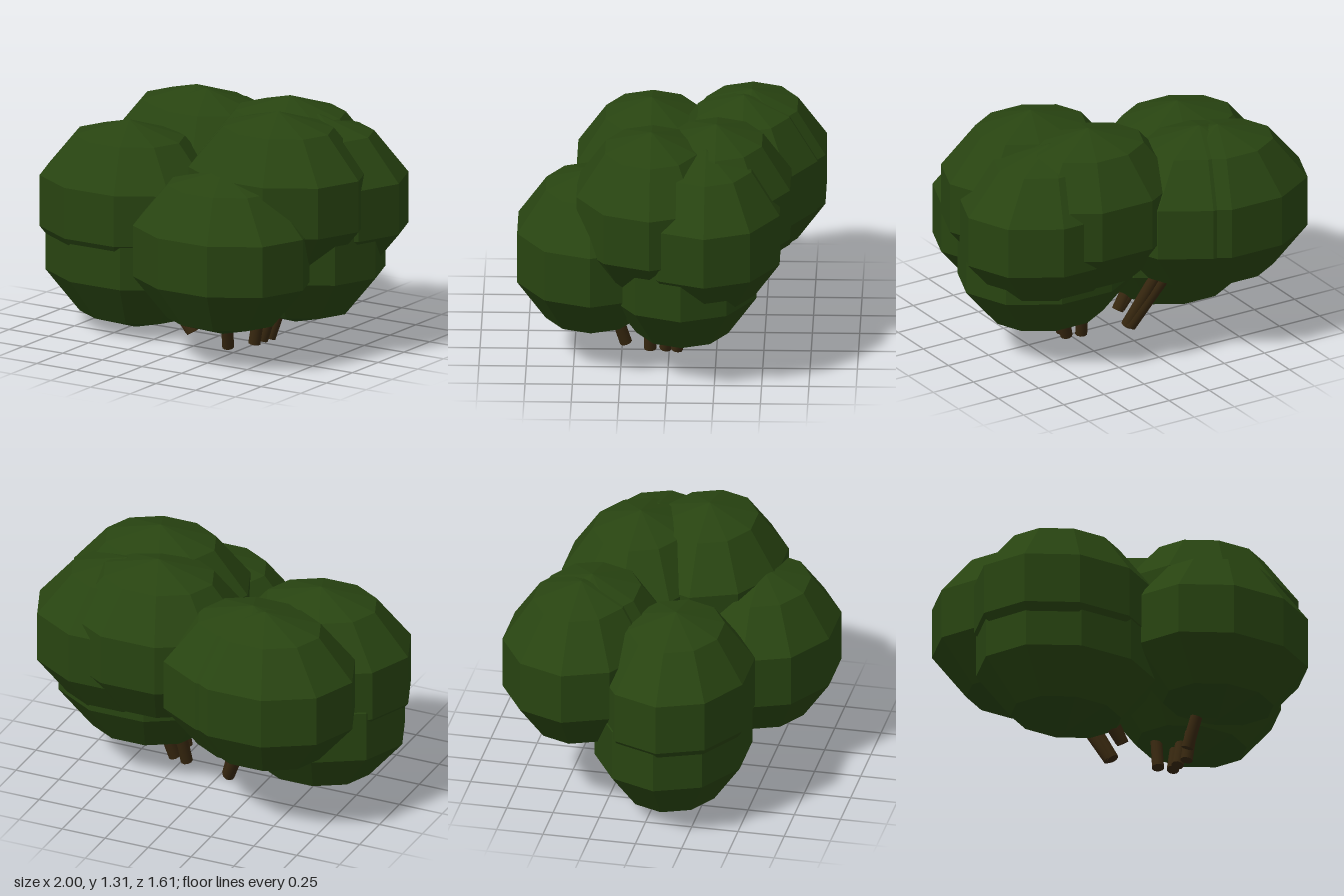
import * as THREE from 'three';

export function createModel() {
  const model = new THREE.Group();
  model.name = 'bush';

  const leaf = new THREE.MeshStandardMaterial({ color: 0x284411, flatShading: true });
  leaf.name = 'dark leaf green';
  const bark = new THREE.MeshStandardMaterial({ color: 0x37270f });
  bark.name = 'bark brown';

  // Each clump: name, centre of the foliage, foot of its stem
  const clumps = [
    ['front', [0.285, 0.6, 0.407], [0.205, 0.03, 0.23]],
    ['rightUpperFront', [0.43, 0.87, 0.09], [0.285, 0.03, 0.1]],
    ['rightLower', [0.43, 0.58, -0.075], [0.28, 0.03, 0.02]],
    ['rightOuter', [0.495, 0.8, -0.2], [0.29, 0.03, -0.04]],
    ['rightUpperBack', [0.285, 0.86, -0.25], [0.21, 0.03, -0.06]],
    ['backOuter', [-0.415, 0.78, -0.42], [-0.06, 0.03, -0.115]],
    ['backInner', [-0.325, 0.78, -0.38], [-0.05, 0.03, -0.1]],
    ['leftUpper', [-0.495, 0.695, 0.11], [-0.11, 0.03, 0.09]],
    ['leftLower', [-0.47, 0.457, 0.09], [-0.12, 0.04, 0.09]],
  ];

  // Faceted, flattened foliage ball shared by all clumps
  const foliage = new THREE.SphereGeometry(1, 10, 5);
  foliage.scale(0.531, 0.449, 0.434);

  const up = new THREE.Vector3(0, 1, 0);
  for (const [name, centre, foot] of clumps) {
    const ball = new THREE.Mesh(foliage, leaf);
    ball.name = `${name}Foliage`;
    ball.position.set(...centre);
    model.add(ball);

    // Stem leaning from its foot to the middle of the foliage
    const a = new THREE.Vector3(...foot);
    const b = new THREE.Vector3(...centre);
    const dir = b.clone().sub(a);
    const stem = new THREE.Mesh(new THREE.CylinderGeometry(0.03, 0.033, dir.length(), 10), bark);
    stem.name = `${name}Stem`;
    stem.position.copy(a).lerp(b, 0.5);
    stem.quaternion.setFromUnitVectors(up, dir.normalize());
    model.add(stem);
  }

  return model;
}
